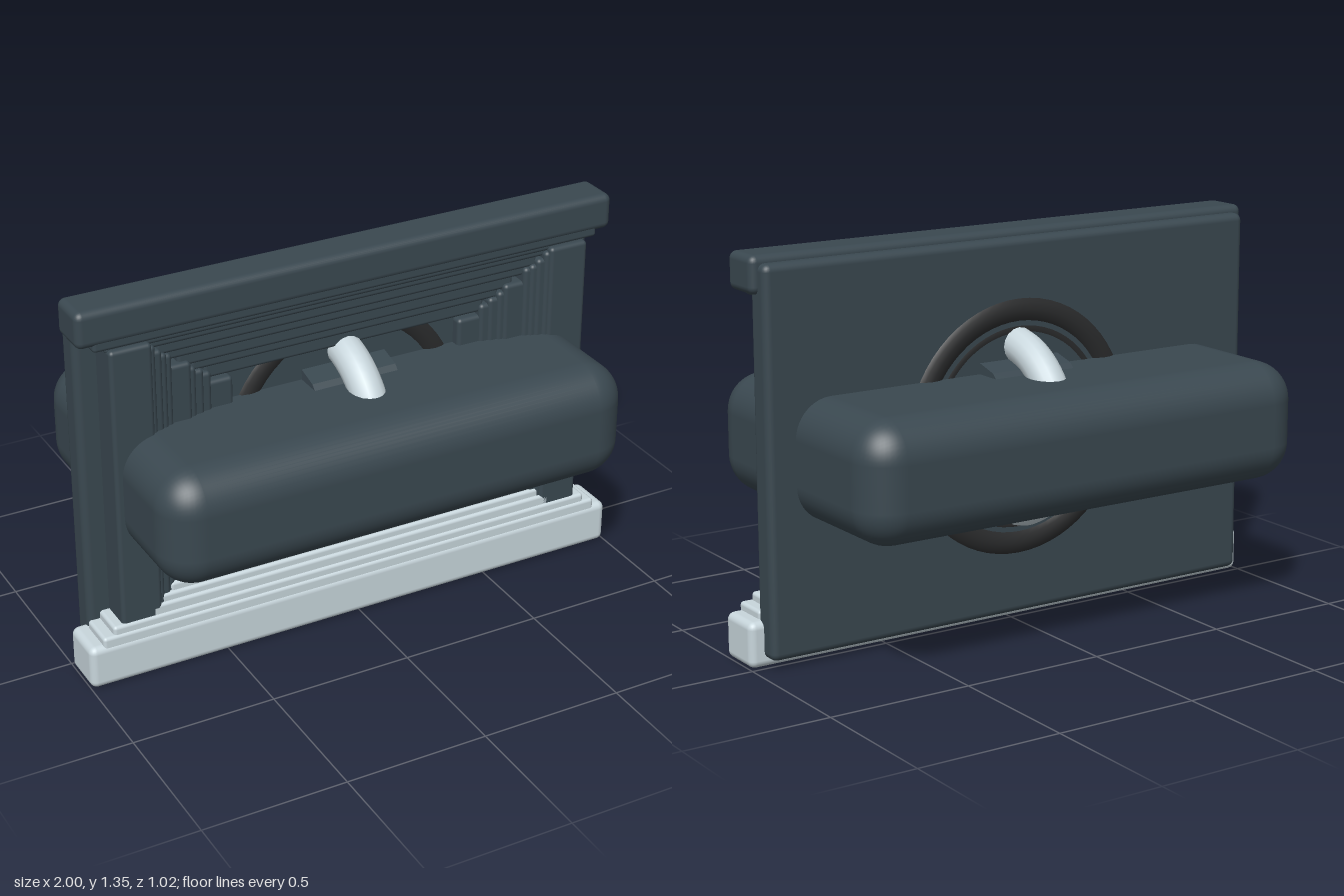
import * as THREE from 'three';
import { RoundedBoxGeometry } from 'three/addons/geometries/RoundedBoxGeometry.js';

const slate = new THREE.MeshStandardMaterial({ color: 0x3a4850 });
const pale = new THREE.MeshStandardMaterial({ color: 0xc8d6dc });
const black = new THREE.MeshStandardMaterial({ color: 0x2a2b2c });
const CENTRE_Y = 0.68;

export function createModel() {
  const model = new THREE.Group();

  const add = (name, geometry, material, parent = model) => {
    const mesh = new THREE.Mesh(geometry, material);
    mesh.name = name;
    parent.add(mesh);
    return mesh;
  };
  // Rounded block given by its extents on each axis
  const block = (name, [x0, x1], [y0, y1], [z0, z1], radius, material, parent, segments = 3) => {
    const geometry = new RoundedBoxGeometry(x1 - x0, y1 - y0, z1 - z0, segments, radius);
    geometry.translate((x0 + x1) / 2, (y0 + y1) / 2, (z0 + z1) / 2);
    return add(name, geometry, material, parent);
  };
  const group = (name) => {
    const g = new THREE.Group();
    g.name = name;
    model.add(g);
    return g;
  };

  // Wall panel behind the frame
  block('backPanel', [-0.95, 0.95], [0.03, 1.32], [-0.048, 0.05], 0.025, slate);

  // Lintel: cap, then strips stepping down and back: [half width, underside, front z]
  const lintel = group('lintel');
  block('lintelCap', [-0.975, 0.975], [1.22, 1.345], [-0.008, 0.147], 0.025, slate, lintel);
  [
    [0.92, 1.2, 0.143], [0.88, 1.185, 0.138], [0.74, 1.165, 0.13], [0.7, 1.13, 0.12],
    [0.67, 1.1, 0.11], [0.62, 1.06, 0.1], [0.57, 1.03, 0.09], [0.52, 0.985, 0.08],
  ].forEach(([w, y, z]) => block('lintelStep', [-w, w], [y, 1.26], [0, z], 0.012, slate, lintel));

  // Jambs: stepped reveals, mirrored: [inner x, top, front z]
  const jambSteps = [
    [0.73, 1.2, 0.16], [0.715, 1.185, 0.151], [0.69, 1.16, 0.143], [0.67, 1.14, 0.135],
    [0.65, 1.13, 0.127], [0.58, 1.08, 0.118], [0.56, 1.055, 0.11], [0.53, 1.035, 0.102],
    [0.5, 1.015, 0.094], [0.42, 0.975, 0.086],
  ];
  for (const side of [-1, 1]) {
    const jamb = group(side > 0 ? 'leftJamb' : 'rightJamb');
    for (const [x, top, z] of jambSteps) {
      const span = side > 0 ? [x, 0.875] : [-0.875, -x];
      block('jambStep', span, [0.1, top], [0, z], 0.014, slate, jamb);
    }
  }

  // Sill: base slab, then strips stepping up and back: [half width, top, front z]
  const sill = group('sill');
  block('sillBase', [-1, 1], [0, 0.155], [0.008, 0.18], 0.025, pale, sill);
  [
    [0.95, 0.182, 0.175], [0.91, 0.21, 0.168], [0.77, 0.245, 0.16], [0.73, 0.272, 0.15],
    [0.69, 0.3, 0.14], [0.65, 0.325, 0.13], [0.6, 0.35, 0.12], [0.55, 0.38, 0.11],
  ].forEach(([w, y, z]) => block('sillStep', [-w, w], [0.06, y], [0.04, z], 0.012, pale, sill));

  // Concentric rings around the centre of the panel
  for (const [name, radius, tube] of [['outerRing', 0.4, 0.062], ['innerRing', 0.335, 0.05]]) {
    add(name, new THREE.TorusGeometry(radius, tube, 16, 64), black).position.y = CENTRE_Y;
  }

  // Twelve-sided hub lying across the panel
  const hubGeometry = new THREE.CylinderGeometry(0.25, 0.25, 0.31, 12).toNonIndexed();
  hubGeometry.rotateZ(Math.PI / 2);
  hubGeometry.computeVertexNormals();
  add('hub', hubGeometry, slate).position.y = CENTRE_Y;

  // Upright hoop passing through the panel
  const hoop = add('hoop', new THREE.TorusGeometry(0.285, 0.06, 16, 64), pale);
  hoop.rotation.y = Math.PI / 2;
  hoop.position.y = CENTRE_Y;

  // Large cushion-edged bar running through the panel
  block('crossBar', [-0.85, 0.85], [0.472, 0.88], [-0.512, 0.512], 0.13, slate, model, 6);

  return model;
}
